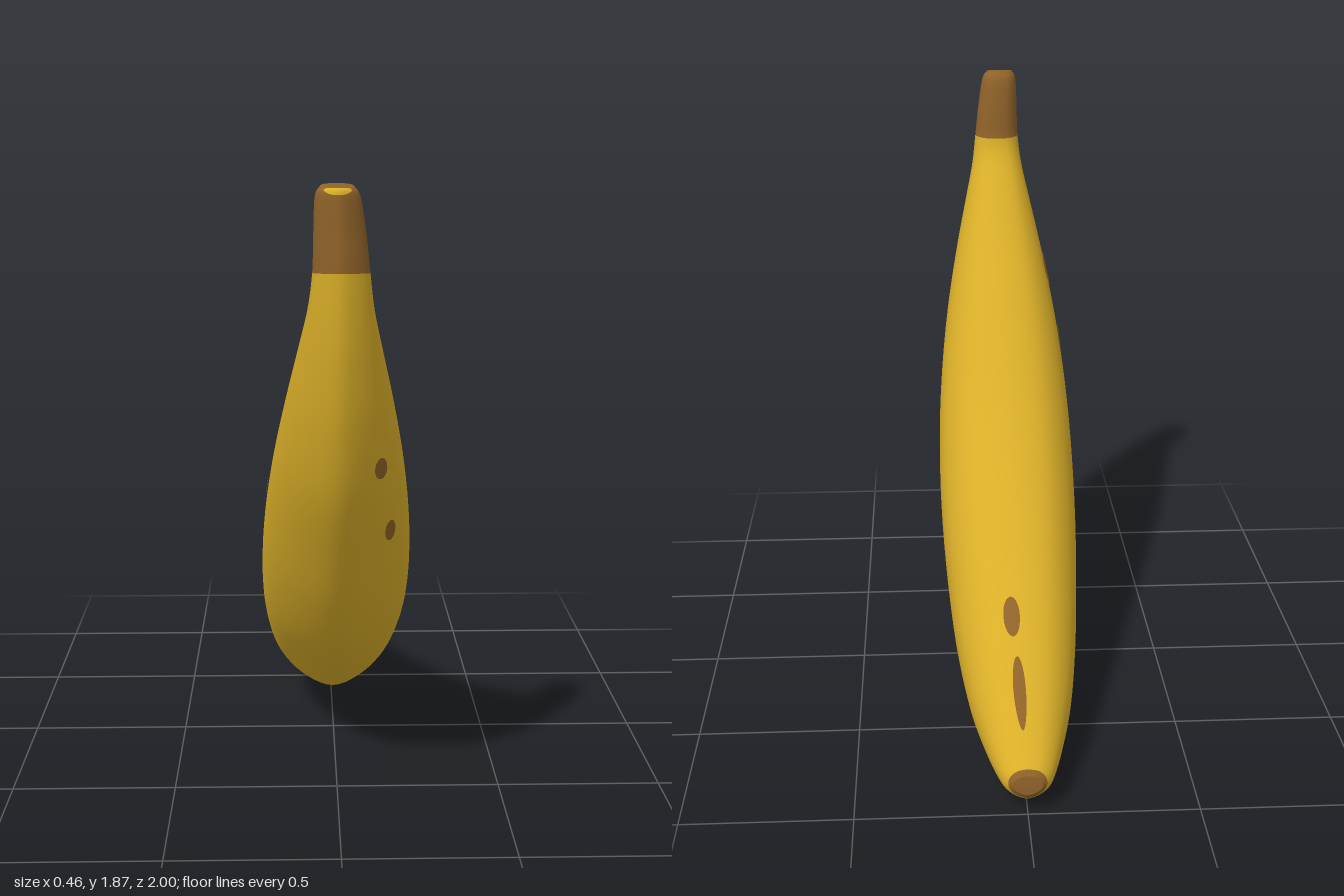
import * as THREE from 'three';

// Lengthwise stations: outer edge z, y | inner edge z, y | half width | sideways shift
const STATIONS = [
  [0.985, 1.858, 0.9, 1.868, 0.044, -0.012],
  [1.0, 1.84, 0.875, 1.83, 0.06, -0.01],
  [1.0, 1.74, 0.86, 1.73, 0.07, -0.004],
  [0.998, 1.64, 0.85, 1.63, 0.077, 0],
  [0.985, 1.5, 0.82, 1.56, 0.09, 0],
  [0.965, 1.37, 0.74, 1.46, 0.115, 0],
  [0.925, 1.2, 0.62, 1.32, 0.15, 0],
  [0.85, 1.0, 0.47, 1.165, 0.185, 0],
  [0.73, 0.8, 0.33, 1.02, 0.21, 0],
  [0.59, 0.6, 0.19, 0.88, 0.225, 0],
  [0.41, 0.41, 0.05, 0.76, 0.229, 0],
  [0.19, 0.26, -0.1, 0.645, 0.224, 0],
  [-0.075, 0.12, -0.26, 0.53, 0.21, 0],
  [-0.34, 0.04, -0.46, 0.405, 0.188, 0],
  [-0.61, 0.003, -0.66, 0.3, 0.155, 0],
  [-0.82, 0.01, -0.82, 0.22, 0.115, 0],
  [-0.95, 0.03, -0.94, 0.16, 0.08, 0],
  [-0.985, 0.045, -0.978, 0.142, 0.06, 0],
  [-1.0, 0.065, -0.995, 0.122, 0.042, 0],
];
const LAST = STATIONS.length - 1;
const spline = (points, closed = false) => new THREE.CatmullRomCurve3(points, closed, 'catmullrom', 0.5);
// The x channels carry the half width and the sideways shift
const outer = spline(STATIONS.map(([z, y, , , w]) => new THREE.Vector3(w, y, z)));
const inner = spline(STATIONS.map(([, , z, y, , shift]) => new THREE.Vector3(shift, y, z)));

// Cross-section: soft keel on the outer side, flatter on the inner side
const half = [[0, -1], [0.5, -0.8], [0.87, -0.42], [1, 0.02], [0.9, 0.5], [0.55, 0.88], [0, 1]];
const mirrored = half.slice(1, -1).reverse().map(([u, v]) => [-u, v]);
const section = spline([...half, ...mirrored].map(([u, v]) => new THREE.Vector3(u, v, 0)), true);

// Point on the skin: s = station along the length, t = turn around from the keel
function skinPoint(s, t) {
  const k = THREE.MathUtils.clamp(s / LAST, 0, 1);
  const o = outer.getPoint(k), i = inner.getPoint(k);
  const p = section.getPoint(((t % 1) + 1) % 1);
  const f = (p.y + 1) / 2;
  return new THREE.Vector3(i.x + p.x * o.x, o.y + (i.y - o.y) * f, o.z + (i.z - o.z) * f);
}

function skinNormal(s, t) {
  const e = 0.02;
  const ds = skinPoint(s + e, t).sub(skinPoint(s - e, t));
  const dt = skinPoint(s, t + e).sub(skinPoint(s, t - e));
  return ds.cross(dt).normalize();
}

function toGeometry(points, index) {
  const g = new THREE.BufferGeometry().setFromPoints(points);
  g.setIndex(index);
  g.computeVertexNormals();
  return g;
}

// A stretch of skin from s0 to s1, with an end cap where the fruit stops
function skin(s0, s1, rows, cols = 60) {
  const points = [], index = [];
  for (let r = 0; r <= rows; r++) {
    for (let c = 0; c < cols; c++) points.push(skinPoint(s0 + ((s1 - s0) * r) / rows, c / cols));
  }
  const cap = (row, flip) => {
    const centre = new THREE.Vector3();
    for (let c = 0; c < cols; c++) centre.addScaledVector(points[row * cols + c], 1 / cols);
    const m = points.push(centre) - 1;
    for (let c = 0; c < cols; c++) {
      const a = row * cols + c, b = row * cols + ((c + 1) % cols);
      index.push(m, flip ? b : a, flip ? a : b);
    }
  };
  for (let r = 0; r < rows; r++) {
    for (let c = 0; c < cols; c++) {
      const a = r * cols + c, d = r * cols + ((c + 1) % cols);
      index.push(a, a + cols, d + cols, a, d + cols, d);
    }
  }
  if (s0 === 0) cap(0, false);
  if (s1 === LAST) cap(rows, true);
  return toGeometry(points, index);
}

// An oval patch lying just above the skin
function patch(s, t, ds, dt, rings = 4, n = 24) {
  const lift = (a, b) => skinPoint(a, b).addScaledVector(skinNormal(a, b), 0.004);
  const points = [lift(s, t)], index = [];
  for (let r = 1; r <= rings; r++) {
    for (let j = 0; j < n; j++) {
      const a = (j / n) * Math.PI * 2;
      points.push(lift(s + (Math.cos(a) * ds * r) / rings, t + (Math.sin(a) * dt * r) / rings));
    }
  }
  for (let j = 0; j < n; j++) {
    const k = (j + 1) % n;
    index.push(0, 1 + j, 1 + k);
    for (let r = 0; r < rings - 1; r++) {
      const a = 1 + r * n + j, b = 1 + r * n + k;
      index.push(a, a + n, b + n, a, b + n, b);
    }
  }
  return toGeometry(points, index);
}

export function createModel() {
  const yellow = new THREE.MeshStandardMaterial({ color: 0xd8ad28 });
  yellow.name = 'ripe yellow';
  const brown = new THREE.MeshStandardMaterial({ color: 0x8f6229 });
  brown.name = 'stem brown';

  const group = new THREE.Group();
  group.name = 'banana';
  const add = (name, geometry, material) => {
    const mesh = new THREE.Mesh(geometry, material);
    mesh.name = name;
    group.add(mesh);
  };

  add('stem', skin(0, 3, 18), brown);
  add('body', skin(3, 17.2, 110), yellow);
  add('blossomTip', skin(17.2, LAST, 8), brown);
  add('stemCut', patch(0.55, 0.0, 0.42, 0.11), yellow);

  // Ripeness spots: station, turn, half length, half width
  const spots = [
    [6.7, 0.11, 0.16, 0.02],
    [7.85, 0.125, 0.18, 0.016],
    [6.5, -0.3, 0.3, 0.025],
    [7.7, -0.28, 0.24, 0.025],
    [14.6, 0.49, 0.75, 0.02],
    [13.2, 0.484, 0.32, 0.02],
    [14.4, 0.14, 0.3, 0.025],
  ];
  spots.forEach((spot, i) => add(`ripenessSpot${i + 1}`, patch(...spot), brown));
  return group;
}
